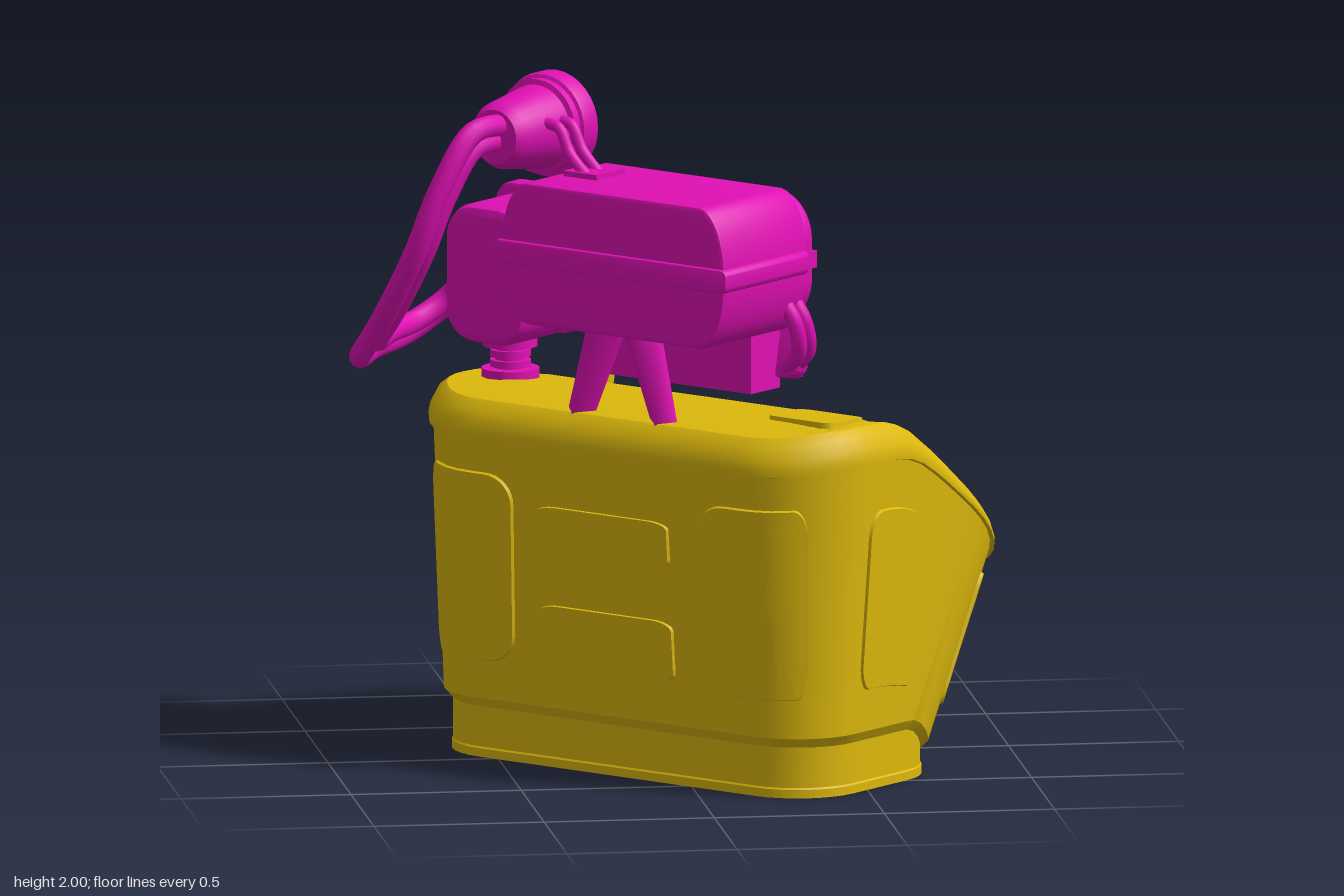
import * as THREE from 'three';
import { toCreasedNormals } from 'three/addons/utils/BufferGeometryUtils.js';

const V = (x, y, z) => new THREE.Vector3(x, y, z);
const smooth = THREE.MathUtils.smoothstep;
const yellow = new THREE.MeshStandardMaterial({ color: 0xdcb80c });
const magenta = new THREE.MeshStandardMaterial({ color: 0xe010b4 });

function add(parent, name, geo, mat, x = 0, y = 0, z = 0) {
  const m = new THREE.Mesh(geo, mat);
  m.name = name;
  m.position.set(x, y, z);
  parent.add(m);
  return m;
}

// Surface through a list of closed rings with equal point counts
function loft(rings) {
  const n = rings[0].length, pos = [], idx = [];
  rings.forEach(r => r.forEach(p => pos.push(p.x, p.y, p.z)));
  for (let j = 0; j < rings.length - 1; j++) for (let i = 0; i < n; i++) {
    const a = j * n + i, c = j * n + (i + 1) % n;
    idx.push(a, a + n, c, c, a + n, c + n);
  }
  const g = new THREE.BufferGeometry();
  g.setAttribute('position', new THREE.Float32BufferAttribute(pos, 3));
  g.setIndex(idx);
  return toCreasedNormals(g, 0.5);
}

// Rounded rectangle in plan: 64 points, 8 per corner and 8 per side
function ring({ x0, x1, z0, z1, r }, yf = () => 0) {
  const corners = [[x1 - r, z1 - r], [x0 + r, z1 - r], [x0 + r, z0 + r], [x1 - r, z0 + r]], pts = [];
  const at = (k, i) => {
    const t = (k + i / 8) * Math.PI / 2, [cx, cz] = corners[k % 4];
    return V(cx + r * Math.cos(t), 0, cz + r * Math.sin(t));
  };
  for (let k = 0; k < 4; k++) {
    for (let i = 0; i < 8; i++) pts.push(at(k, i));
    for (let i = 0; i < 8; i++) pts.push(at(k, 8).lerp(at(k + 1, 0), i / 8));
  }
  pts.forEach(p => { p.y = yf(p.z); });
  return pts;
}
// Sets the operator side of a ring back between the two corner pillars
const notch = (pts, d) => pts.map((p, i) => V(p.x, p.y, p.z - d * smooth(i, 6, 9) * (1 - smooth(i, 15, 18))));

// Rounded panel laid on a surface P(u, v); layers hold [scale, height]
const unit = ring({ x0: -1, x1: 1, z0: -1, z1: 1, r: 0.3 });
const FRAME = [[1, -0.012], [0.98, 0.01], [0.89, 0.011], [0.85, 0.004], [0.5, 0.004], [0.2, 0.004], [0, 0.004]];
const PAD = [[1, -0.012], [0.97, 0.009], [0.8, 0.009], [0.6, 0.009], [0.4, 0.009], [0.2, 0.009], [0, 0.009]];
function patch(P, cu, cv, hu, hv, layers = FRAME) {
  const e = 0.004;
  return loft(layers.map(([s, h]) => unit.map(q => {
    const u = cu + q.x * s * hu, v = cv + q.z * s * hv, p = P(u, v);
    const n = P(u, v + e).sub(P(u, v - e)).cross(P(u + e, v).sub(P(u - e, v))).normalize();
    return p.addScaledVector(n, h);
  })));
}

function rod(parent, name, a, b, r1, r2, mat, sides = 12) {
  const d = b.clone().sub(a);
  const m = add(parent, name, new THREE.CylinderGeometry(r2, r1, d.length(), sides), mat);
  m.position.copy(a).addScaledVector(d, 0.5);
  m.quaternion.setFromUnitVectors(V(0, 1, 0), d.normalize());
}
const tube = (pts, r, n = 40) => new THREE.TubeGeometry(new THREE.CatmullRomCurve3(pts), n, r, 10);

// Rounded rectangle outline; r is one radius or a [horizontal, vertical] pair
function roundRect(w, h, r, Type = THREE.Shape) {
  const [rx, ry = rx] = [].concat(r), s = new Type(), a = w / 2 - rx, b = h / 2 - ry;
  [[a, b], [-a, b], [-a, -b], [a, -b]].forEach(([x, y], k) =>
    s.absellipse(x, y, rx, ry, k * Math.PI / 2, (k + 1) * Math.PI / 2, false, 0));
  s.closePath();
  return s;
}
function slab(w, h, r, depth, bevel = 0.012, hole = null) {
  const s = roundRect(w - 2 * bevel, h - 2 * bevel, r);
  if (hole) s.holes.push(roundRect(hole[0], hole[1], hole[2], THREE.Path));
  const g = new THREE.ExtrudeGeometry(s, { depth: depth - 2 * bevel, bevelSize: bevel, bevelThickness: bevel, bevelSegments: 2, curveSegments: 8 });
  return toCreasedNormals(g.translate(0, 0, bevel), 0.5);
}

// Deck height: flat with a soft fall at the back, sloping toward the operator
const deck = z => {
  const t = z - 0.05;
  return 1.095 - 0.425 * (t + Math.sqrt(t * t + 0.0064)) - 0.025 * smooth(-z, 0.22, 0.44);
};
// The rim hangs less at the operator side
const rimDrop = z => 0.11 - 0.045 * smooth(z, -0.15, 0.45);
const dims = (half, z0, z1, r, inset = 0) => ({
  x0: -0.09 - half + inset, x1: -0.09 + half - inset, z0: z0 + inset, z1: z1 - inset, r: Math.max(r - inset, 0.0005),
});

function buildConsole(g) {
  const lowY = z => 0.15 - 0.1 * smooth(z, 0.1, 0.29);
  const base = (i, y = () => 0) => notch(ring(dims(0.705, -0.36, 0.3, 0.2, i), y), 0.08);
  const rim = i => dims(0.775, -0.44, 0.62, 0.29, i);
  const low = notch(ring(dims(0.725, -0.385, 0.32, 0.21), z => lowY(z) + 0.03), 0.09);
  const top = ring(rim(0.01), z => deck(z) - rimDrop(z)), under = notch(top, 0.11);

  add(g, 'plinth', loft([
    ring(dims(0.001, -0.031, -0.029, 0.001), () => 0.14), base(0.04, () => 0.14), base(0.04), base(-0.004),
    base(-0.004, () => 0.025), base(0, () => 0.03), base(0, lowY),
  ]), yellow);
  add(g, 'body', loft([base(0, lowY), low, under]), yellow);

  // Lid with recessed control deck and round display well
  const panel = ring(dims(0.69, 0, 0.562, 0.24), deck);
  const well = (r, drop) => panel.map(p => {
    const d = V(p.x + 0.09, 0, (p.z - 0.3) / 0.76);
    if (r > 0) d.setLength(r); else d.set(0, 0, 0);
    const z = 0.3 + d.z * 0.76;
    return V(-0.09 + d.x, deck(z) - drop, z - drop * 0.4);
  });
  const lid = (i, f) => ring(rim(i), z => deck(z) - f * rimDrop(z));
  const lidInner = lid(0.05, 0.03);
  add(g, 'lid', loft([
    under, top, lid(-0.003, 0.97), lid(-0.004, 0.8), lid(0.002, 0.55), lid(0.022, 0.22), lidInner,
    lidInner.map((p, i) => { const q = p.clone().lerp(panel[i], 0.5); q.y = deck(q.z); return q; }),
    panel, ring(dims(0.678, 0.012, 0.55, 0.228), z => deck(z) - 0.025),
    well(0.258, 0.025), well(0.256, 0.003), well(0.24, 0), well(0.22, 0.015), well(0.205, 0.09), well(0.16, 0.1), well(0, 0.095),
  ]), yellow);

  // Side panels: u counts ring points round the body, v runs from bottom to rim
  const side = (u, v) => {
    const i = Math.floor(u), f = u - i, a = (i + 64) % 64, b = (i + 65) % 64;
    return low[a].clone().lerp(low[b], f).lerp(under[a].clone().lerp(under[b], f), v);
  };
  [[28.4, 0.49, 3.4, 0.34], [59.6, 0.49, 3.4, 0.34], [38.6, 0.51, 2.7, 0.37], [49.4, 0.51, 2.7, 0.37], [19.4, 0.53, 1.3, 0.34], [4.6, 0.53, 1.3, 0.34]]
    .forEach(p => add(g, 'sidePanel', patch(side, ...p, PAD), yellow));
  [[44.1, 0.69, 2, 0.09], [44.1, 0.28, 2, 0.12]].forEach(p => add(g, 'backCover', patch(side, ...p, PAD), yellow));
  add(g, 'operatorPanel', patch(side, 11.7, 0.5, 3.7, 0.45,
    [[1, -0.012], [0.985, 0.016], [0.94, 0.017], [0.92, 0.003], [0.5, 0.003], [0, 0.003]]), yellow);
  [[13.75, 0.63, 1.25, 0.23], [13.75, 0.24, 1, 0.1], [10.1, 0.69, 1.2, 0.1], [10.1, 0.34, 1.2, 0.12]].forEach(p =>
    add(g, 'operatorInset', patch(side, ...p, [[1, -0.01], [0.97, 0.018], [0.84, 0.02], [0.74, 0.006], [0.4, 0.006], [0, 0.006]]), yellow));

  // Deck details
  const floor = (x, z) => V(x, deck(z) - 0.025, z);
  add(g, 'deckPlate', patch((x, z) => V(x, deck(z), z), -0.64, -0.13, 0.12, 0.09, PAD), yellow);
  for (const s of [-1, 1]) {
    add(g, 'controlPlate', patch(floor, -0.09 + s * 0.51, 0.3, 0.11, 0.18), yellow);
    add(g, 'deckInset', patch(floor, -0.09 + s * 0.26, 0.495, 0.07, 0.035), yellow);
    add(g, 'deckInset', patch(floor, -0.09 + s * 0.3, 0.09, 0.065, 0.04), yellow);
    const x = -0.09 + s * 0.325, up = (z, h) => floor(x, z).add(V(0, h, h * 0.6));
    add(g, 'deckRail', tube([up(0.21, -0.01), up(0.22, 0.04), up(0.32, 0.045), up(0.42, 0.04), up(0.43, -0.01)], 0.012), yellow);
  }
  [[0.4, 0.22, 0.07, 0.045, 0.035], [0.37, 0.38, 0.05, 0.05, 0.03], [-0.65, 0.4, 0.06, 0.04, 0.035]].forEach(([x, z, w, d, h]) =>
    add(g, 'keyBlock', patch(floor, x, z, w, d, [[1, 0], [0.95, h], [0, h]]), yellow));

  // Lathe-turned knobs
  const knob = [[0.04, 0], [0.04, 0.03], [0.022, 0.035], [0.022, 0.09], [0.034, 0.1], [0.034, 0.13], [0.026, 0.14], [0.03, 0.19], [0.022, 0.21], [0, 0.212]];
  const knobGeo = toCreasedNormals(new THREE.LatheGeometry(knob.map(p => new THREE.Vector2(...p)), 16), 0.5);
  [[0.485, 0.43, 1], [0.49, 0.32, 1.03], [-0.66, 0.3, 0.35], [-0.6, 0.22, 0.35]].forEach(([x, z, h]) => {
    const m = add(g, 'controlKnob', knobGeo, yellow, x, deck(z) - 0.025, z);
    m.scale.y = h;
    m.rotation.x = 0.1;
  });
  rod(g, 'lever', floor(-0.54, 0.33).add(V(0, 0.03, 0.02)), floor(-0.53, 0.45).add(V(0, 0.04, 0.02)), 0.018, 0.026, yellow);
}

function buildDisplay(g) {
  // Housing, strap and open screen frame
  const cx = -0.125, cy = 1.527;
  add(g, 'displayHousing', slab(0.82, 0.42, [0.085, 0.19], 0.405), magenta, cx, cy, -0.435);
  add(g, 'housingStrap', slab(0.85, 0.07, 0.012, 0.405, 0.008), magenta, cx, cy, -0.447);
  add(g, 'screenFrame', slab(0.78, 0.39, [0.11, 0.13], 0.07, 0.012, [0.68, 0.29, 0.09]), magenta, cx - 0.01, cy, -0.06);
  add(g, 'screen', slab(0.71, 0.32, 0.09, 0.02, 0.004), magenta, cx - 0.01, cy, -0.046);
  for (const s of [-1, 1]) {
    const x = cx + s * 0.38;
    add(g, 'frameLatch', new THREE.BoxGeometry(0.05, 0.05, 0.06), magenta, x, cy, -0.01);
    for (const d of [0, 0.045])
      add(g, 'trayArm', tube([V(x - s * 0.02, 1.43, -0.1 + d), V(x + s * 0.02, 1.35, -0.08 + d), V(x + s * 0.01, 1.26, -0.05 + d), V(x - s * 0.07, 1.19, -0.02 + d)], 0.024, 20), magenta);
  }
  // Ribbed tray under the screen
  const tray = new THREE.Group();
  tray.name = 'tray';
  tray.position.set(cx - 0.01, 1.25, 0.01);
  tray.rotation.x = 0.2;
  g.add(tray);
  add(tray, 'trayPlate', slab(0.7, 0.17, 0.03, 0.08), magenta, 0, 0, -0.04);
  for (let i = -2; i <= 2; i++) add(tray, 'trayRib', new THREE.BoxGeometry(0.016, 0.12, 0.02), magenta, i * 0.13, 0, 0.045);
  for (const y of [-0.07, 0.07]) add(tray, 'trayEdge', new THREE.BoxGeometry(0.64, 0.015, 0.02), magenta, 0, y, 0.045);
  add(g, 'trayBridge', new THREE.BoxGeometry(0.6, 0.18, 0.14), magenta, cx, 1.23, -0.09);
  // Splayed rear legs
  for (const s of [-1, 1])
    rod(g, 'rearLeg', V(-0.1 + s * 0.16, 1.04, -0.35), V(-0.1 + s * 0.055, 1.36, -0.34), 0.045, 0.07, magenta, 4);
}

function buildHandset(g) {
  const x = 0.487;
  add(g, 'handsetBody', slab(0.29, 0.41, 0.07, 0.27, 0.03), magenta, x, 1.4, -0.255);
  add(g, 'handsetFace', slab(0.3, 0.43, 0.05, 0.07, 0.012, [0.24, 0.36, 0.04]), magenta, x, 1.415, 0);
  add(g, 'handsetPanel', slab(0.26, 0.38, 0.03, 0.04, 0.004), magenta, x, 1.415, 0.01);
  add(g, 'handsetDisplay', slab(0.21, 0.13, 0.03, 0.03, 0.005, [0.175, 0.095, 0.02]), magenta, x, 1.515, 0.04);
  add(g, 'keypadFrame', slab(0.2, 0.19, 0.03, 0.02, 0.005, [0.17, 0.16, 0.02]), magenta, x, 1.335, 0.045);
  for (let i = 0; i < 3; i++) for (let j = 0; j < 4; j++)
    add(g, 'key', new THREE.BoxGeometry(0.038, 0.028, 0.025), magenta, x + (i - 1) * 0.05, 1.28 + j * 0.037, 0.055);
  // Swivel pedestal
  [[0.085, 1.095, 0.03], [0.045, 1.14, 0.12], [0.06, 1.125, 0.02], [0.06, 1.155, 0.02], [0.08, 1.19, 0.03]].forEach(([r, y, h]) =>
    add(g, 'pedestal', new THREE.CylinderGeometry(r, r, h, 24), magenta, x, y, -0.12));
}

function buildLamp(g) {
  const prof = [[0, -0.29], [0.08, -0.29], [0.1, -0.26], [0.125, -0.09], [0.14, -0.085], [0.14, -0.06], [0.15, -0.055], [0.155, -0.04], [0.155, 0.005], [0.145, 0.015], [0.12, 0.015], [0.115, 0], [0, 0]];
  const geo = toCreasedNormals(new THREE.LatheGeometry(prof.map(p => new THREE.Vector2(...p)), 32), 0.5);
  add(g, 'lamp', geo, magenta, 0.355, 1.845, -0.08).rotation.x = Math.PI / 2;
  add(g, 'lampFoot', new THREE.BoxGeometry(0.12, 0.02, 0.14), magenta, 0.11, 1.743, -0.21);
  for (const z of [-0.25, -0.19])
    add(g, 'lampBracket', tube([V(0.26, 1.88, z), V(0.21, 1.87, z), V(0.17, 1.8, z), V(0.11, 1.74, z)], 0.017, 20), magenta);
}

export function createModel() {
  const model = new THREE.Group();
  model.name = 'controlConsole';
  const g = new THREE.Group();
  g.name = 'machine';
  g.rotation.y = Math.PI * 0.75;
  model.add(g);
  buildConsole(g);
  buildDisplay(g);
  buildHandset(g);
  buildLamp(g);
  // Twin hoses looping from the lamp to the handset
  const path = [[-0.47, 1.88, -0.01], [-0.59, 1.87, 0.09], [-0.69, 1.71, 0.125], [-0.76, 1.52, 0.1], [-0.84, 1.3, -0.03], [-0.885, 1.175, -0.15], [-0.82, 1.165, -0.33], [-0.7, 1.18, -0.48], [-0.59, 1.25, -0.51], [-0.53, 1.36, -0.4]];
  const mid = V(-0.52, 1.52, -0.15);
  for (const s of [1, 0.86])
    add(model, 'hose', tube(path.map(p => V(...p).sub(mid).multiplyScalar(s).add(mid)), 0.033, 70), magenta);
  return model;
}
